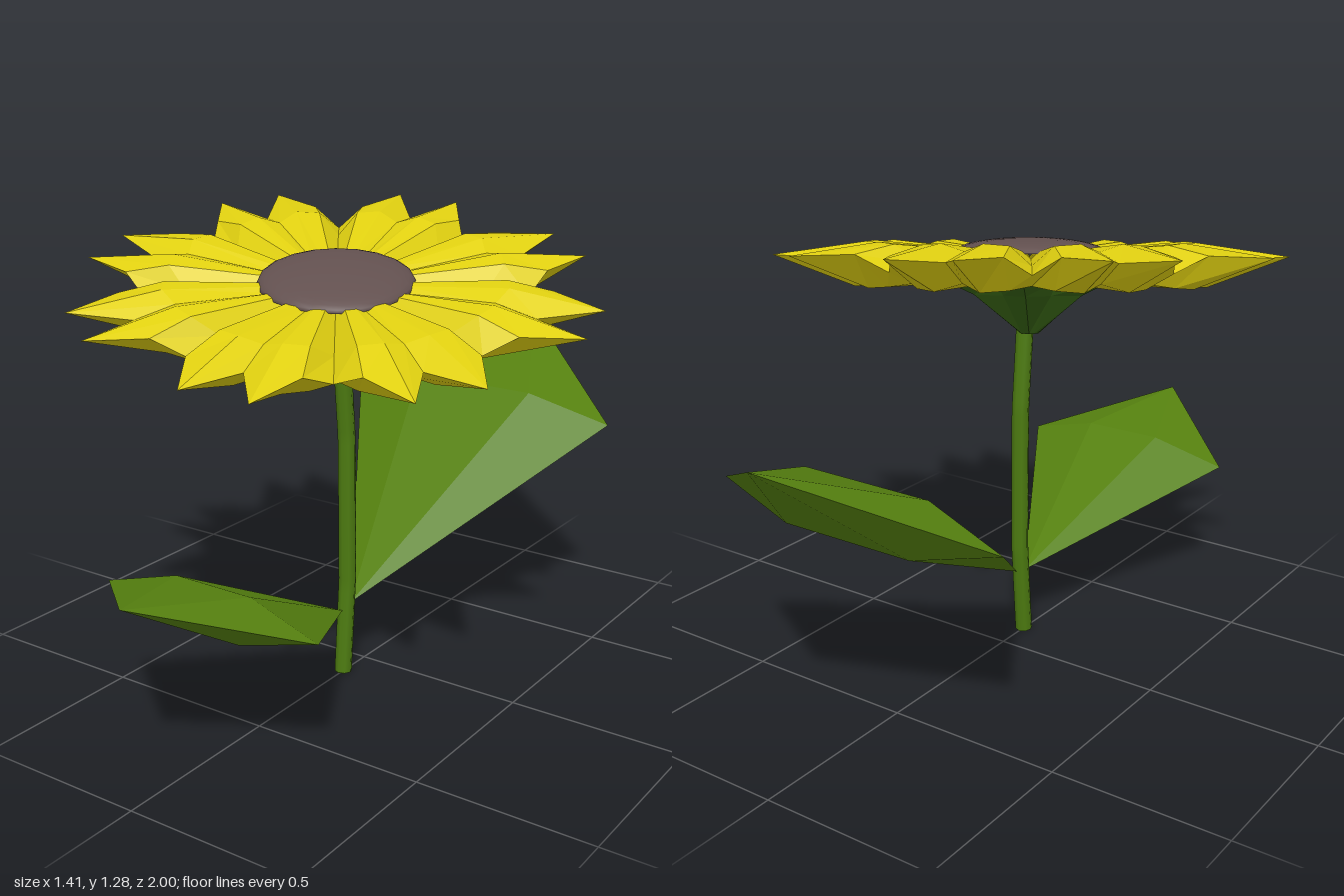
import * as THREE from 'three';
import { ConvexGeometry } from 'three/addons/geometries/ConvexGeometry.js';

const material = (color, flatShading = true) =>
  new THREE.MeshStandardMaterial({ color, flatShading, side: THREE.DoubleSide });
const green = material(0x55800f);
const darkGreen = material(0x356014);
const yellow = material(0xe0d010);
const brown = material(0x62504f, false);

function part(name, geometry, mat) {
  const mesh = new THREE.Mesh(geometry, mat);
  mesh.name = name;
  return mesh;
}

// Closed kite-shaped leaf: base, tip, two side corners, a ridge above and a keel below
function leaf(name, base, tip, corner, ridge, keel, ridgeHalf) {
  const points = [new THREE.Vector3(0, ...base), new THREE.Vector3(0, ...tip)];
  for (const s of [-1, 1]) {
    points.push(new THREE.Vector3(s * corner[0], corner[1], corner[2]));
    points.push(new THREE.Vector3(s * ridgeHalf, ...ridge), new THREE.Vector3(s * ridgeHalf, ...keel));
  }
  return part(name, new ConvexGeometry(points), green);
}

// Surface through closed rings of equal length
function loft(rings) {
  const n = rings[0].length;
  const index = [];
  for (let r = 0; r < rings.length - 1; r++) {
    for (let i = 0; i < n; i++) {
      const a = r * n + i, b = r * n + (i + 1) % n;
      index.push(a, b, a + n, b, b + n, a + n);
    }
  }
  const geometry = new THREE.BufferGeometry();
  geometry.setAttribute('position', new THREE.Float32BufferAttribute(rings.flat(2), 3));
  geometry.setIndex(index);
  geometry.computeVertexNormals();
  return geometry;
}

// Eight petals with paired tips; rings run from the disc over the rim to the underside
function petals() {
  // Per step: angle offset, then [radius, height] of each ring
  const steps = [
    { a: -22.5, p: [[0.17, 0.0], [0.40, -0.01], [0.51, -0.03], [0.43, -0.06], [0.15, -0.06]] }, // wide valley
    { a: -15.5, p: [[0.17, 0.02], [0.45, 0.04], [0.57, 0.015], [0.47, -0.07], [0.15, -0.06]] }, // shoulder
    { a: -7.3, p: [[0.17, 0.02], [0.46, 0.045], [0.71, 0.01], [0.49, -0.075], [0.15, -0.06]] }, // tip
    { a: 0, p: [[0.17, 0.01], [0.44, 0.025], [0.55, 0.0], [0.45, -0.055], [0.15, -0.06]] }, // notch
    { a: 7.3, same: 2 },
    { a: 15.5, same: 1 },
  ];
  const rings = [[], [], [], [], []];
  for (let k = 0; k < 8; k++) {
    for (const step of steps) {
      const angle = THREE.MathUtils.degToRad(-12 + 45 * k + step.a);
      const profile = step.p ?? steps[step.same].p;
      profile.forEach(([r, h], i) => rings[i].push([r * Math.cos(angle), h, r * Math.sin(angle)]));
    }
  }
  // Reverse each ring so the faces point outwards
  return loft(rings.map((ring) => ring.reverse()));
}

// Star-edged cup beneath the petals
function calyx() {
  const rings = [[0.025, 0.025, -0.21], [0.17, 0.13, -0.1], [0.27, 0.17, -0.055]].map(([out, inn, h]) =>
    Array.from({ length: 12 }, (_, i) => {
      const a = -i * Math.PI / 6, r = i % 2 ? inn : out;
      return [r * Math.cos(a), h, r * Math.sin(a)];
    }).reverse());
  return loft(rings.reverse().map((ring) => ring.reverse()));
}

export function createModel() {
  const model = new THREE.Group();
  model.name = 'flower';

  // Slightly bowed stem
  const path = new THREE.CurvePath();
  const points = [[0, 0.108], [0.28, 0.085], [0.7, 0.085], [0.97, 0.108]].map(([y, z]) => new THREE.Vector3(0, y, z));
  for (let i = 0; i < 3; i++) path.add(new THREE.LineCurve3(points[i], points[i + 1]));
  model.add(part('stem', new THREE.TubeGeometry(path, 24, 0.025, 8), material(0x4c7a10, false)));
  const cap = part('stemBase', new THREE.CircleGeometry(0.025, 8).rotateX(Math.PI / 2), green);
  cap.position.set(0, 0.001, 0.108);
  model.add(cap);

  // Large leaf behind, smaller leaf in front
  model.add(leaf('backLeaf', [0.2, 0.07], [0.855, -1], [0.45, 0.63, -0.64], [0.7, -0.6], [0.57, -0.68], 0.2));
  model.add(leaf('frontLeaf', [0.19, 0.11], [0.53, 1], [0.34, 0.41, 0.69], [0.47, 0.67], [0.36, 0.72], 0.12));

  // Tilted flower head
  const head = new THREE.Group();
  head.name = 'flowerHead';
  head.position.set(0, 1.135, 0.13);
  head.quaternion.setFromUnitVectors(new THREE.Vector3(0, 1, 0), new THREE.Vector3(0.11, 1, 0.165).normalize());
  head.add(part('petals', petals(), yellow), part('calyx', calyx(), darkGreen));
  const disc = part('seedDisc', new THREE.SphereGeometry(0.21, 20, 8, 0, Math.PI * 2, 0, Math.PI / 2), brown);
  disc.scale.y = 0.2;
  disc.position.y = 0.015;
  head.add(disc);
  model.add(head);
  return model;
}
